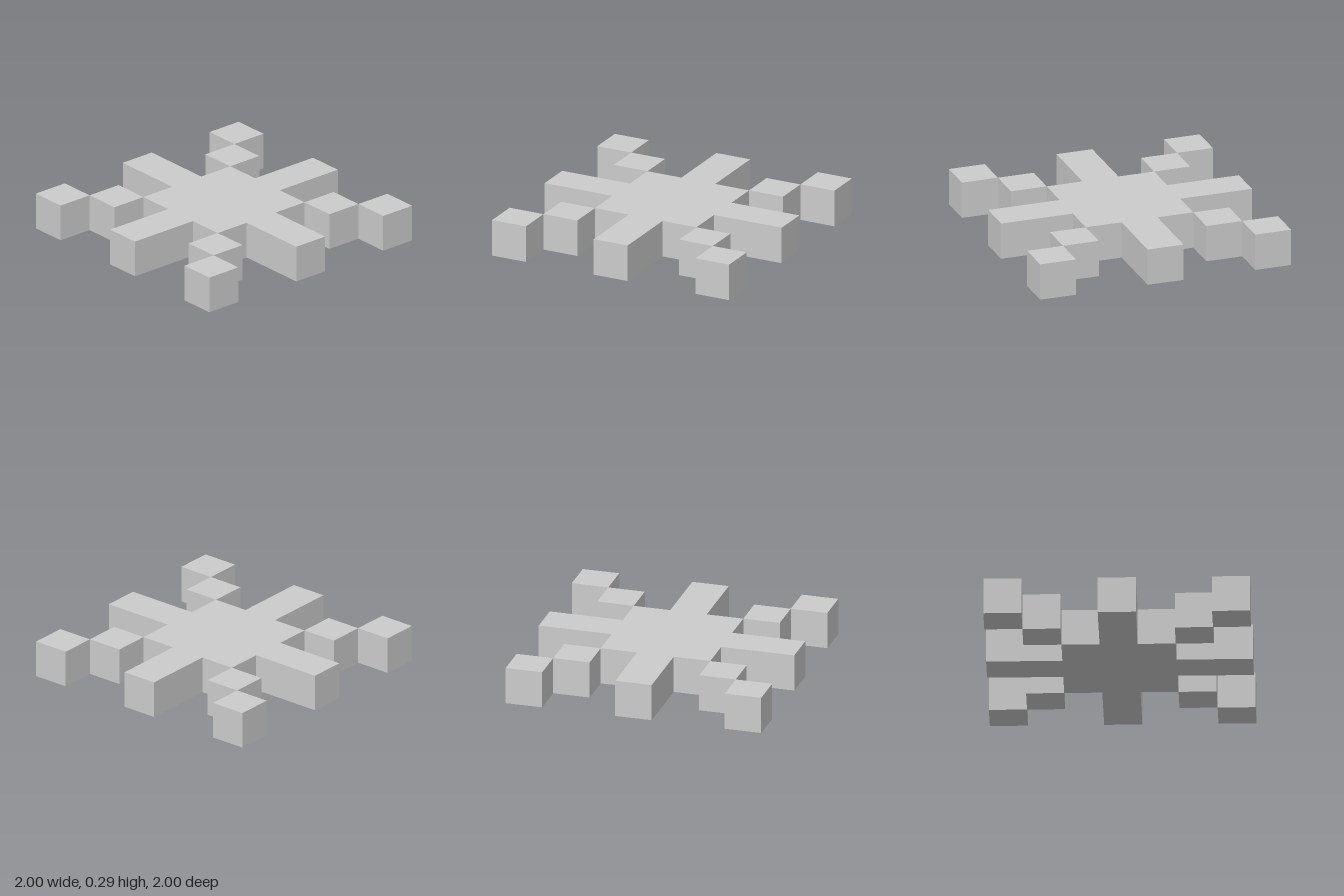
import * as THREE from 'three';

const U = 2 / 7; // one cell of the 7 x 7 grid

export function createModel() {
  const model = new THREE.Group();
  model.name = 'blockSnowflake';
  const material = new THREE.MeshStandardMaterial({ color: 0xcccccc, flatShading: true });

  // Square core with four straight arms, as one outline: a quarter turned four times
  const quarter = [[3.5, -0.5], [3.5, 0.5], [1.5, 0.5], [1.5, 1.5], [0.5, 1.5]];
  const outline = [];
  for (let i = 0; i < 4; i++) {
    for (const [x, y] of quarter) {
      outline.push(new THREE.Vector2(x * U, y * U).rotateAround(new THREE.Vector2(), i * Math.PI / 2));
    }
  }
  const bodyGeometry = new THREE.ExtrudeGeometry(new THREE.Shape(outline), { depth: U, bevelEnabled: false });
  bodyGeometry.rotateX(-Math.PI / 2);
  const body = new THREE.Mesh(bodyGeometry, material);
  body.name = 'coreWithArms';
  model.add(body);

  // Diagonal arms: two cubes touching edge to edge at each corner
  const cube = new THREE.BoxGeometry(U, U, U);
  for (const sx of [-1, 1]) {
    for (const sz of [-1, 1]) {
      const arm = new THREE.Group();
      arm.name = `${sz > 0 ? 'front' : 'back'}${sx > 0 ? 'Left' : 'Right'}DiagonalArm`;
      for (const [name, cell] of [['innerCube', 2], ['outerCube', 3]]) {
        const mesh = new THREE.Mesh(cube, material);
        mesh.name = name;
        mesh.position.set(sx * cell * U, U / 2, sz * cell * U);
        arm.add(mesh);
      }
      model.add(arm);
    }
  }
  return model;
}
